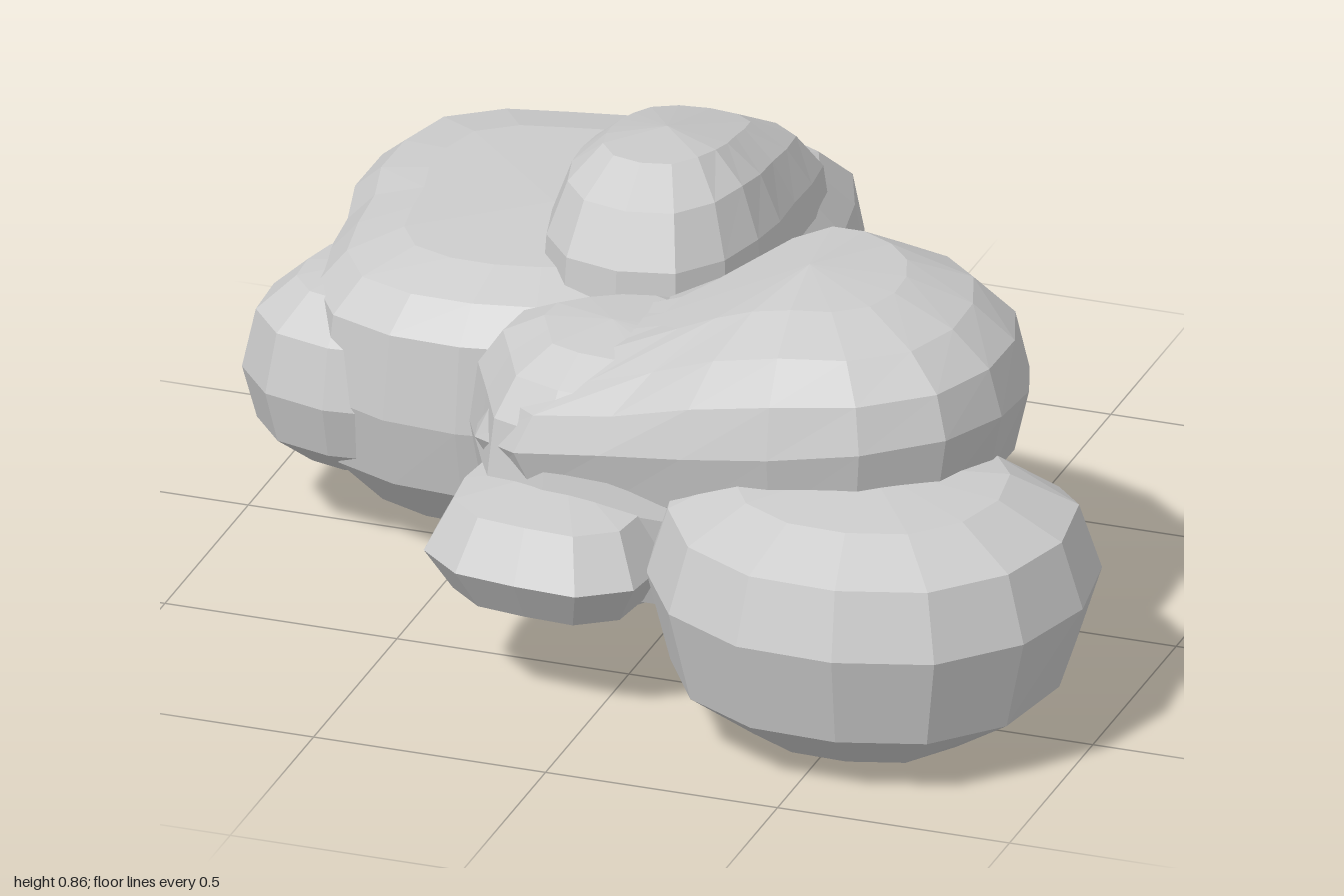
import * as THREE from 'three';

const material = new THREE.MeshStandardMaterial({ color: 0xcccccc, flatShading: true });

// Faceted boulder: a plan outline [x, z] (ordered +x, +z, -x, -z) is drawn in
// towards its centre above and below the waist height along a superellipse.
function boulder(name, { outline, centre, waist, top, bottom, topPower = 2.5, basePower = 2.3, sides = 18, steps = 4 }) {
  const at = (f, x, z) => (typeof f === 'function' ? f(x, z) : f);
  const curve = new THREE.CatmullRomCurve3(outline.map(([x, z]) => new THREE.Vector3(x, 0, z)), true);
  const plan = curve.getSpacedPoints(sides).slice(0, sides);
  const rings = [];
  for (let i = -steps; i <= steps; i++) {
    const phi = (Math.abs(i) / steps) * Math.PI / 2;
    const power = 2 / (i < 0 ? basePower : topPower);
    const spread = Math.abs(i) === steps ? 0 : Math.cos(phi) ** power;
    const rise = Math.sin(phi) ** power;
    rings.push(plan.map((p) => {
      const x = centre[0] + (p.x - centre[0]) * spread;
      const z = centre[1] + (p.z - centre[1]) * spread;
      const mid = at(waist, x, z);
      const y = mid + (at(i < 0 ? bottom : top, x, z) - mid) * rise;
      return [x, Math.max(y, 0), z];
    }));
  }
  // Quads between rings; the first and last rings are single points, so fans
  const positions = [];
  for (let i = 0; i < rings.length - 1; i++) {
    for (let j = 0; j < sides; j++) {
      const k = (j + 1) % sides;
      const a = rings[i][j], b = rings[i][k], c = rings[i + 1][k], d = rings[i + 1][j];
      if (i > 0) positions.push(...a, ...d, ...b);
      if (i < rings.length - 2) positions.push(...b, ...d, ...c);
    }
  }
  const geometry = new THREE.BufferGeometry();
  geometry.setAttribute('position', new THREE.Float32BufferAttribute(positions, 3));
  geometry.computeVertexNormals();
  const mesh = new THREE.Mesh(geometry, material);
  mesh.name = name;
  return mesh;
}

const oval = (x, z, rx, rz) => Array.from({ length: 10 }, (_, i) => {
  const a = (i / 10) * Math.PI * 2;
  return [x + rx * Math.cos(a), z + rz * Math.sin(a)];
});

export function createModel() {
  const group = new THREE.Group();
  group.name = 'boulderCluster';
  const { clamp, lerp, smoothstep } = THREE.MathUtils;

  group.add(
    // Broad low mass at the back right
    boulder('backBoulder', {
      outline: [[0.03, -0.4], [0.04, -0.15], [-0.05, 0.1], [-0.4, 0.24], [-0.75, 0.19], [-0.87, 0.02],
        [-0.9, -0.25], [-0.95, -0.5], [-0.87, -0.79], [-0.5, -0.88], [-0.25, -0.9], [-0.08, -0.78]],
      centre: [-0.43, -0.25], waist: (x, z) => 0.36 - 0.04 * z,
      top: (x) => 0.675 + 0.035 * x, bottom: (x, z) => 0.3 * Math.max(-0.45 - z, 0),
      topPower: 3.8, basePower: 2.35, sides: 22,
    }),
    // Bulge on its outer side
    boulder('sideBulge', {
      outline: [[-0.5, -0.05], [-0.6, 0.18], [-0.86, 0.19], [-0.98, 0.09], [-1, -0.06], [-0.97, -0.21], [-0.85, -0.36], [-0.62, -0.3]],
      centre: [-0.76, -0.06], waist: 0.34, top: 0.56, bottom: 0.13, sides: 12, steps: 3,
    }),
    // Long lobe tapering to the rear
    boulder('backLobe', {
      outline: [[0.1, -0.45], [0.13, -0.25], [0.05, 0], [-0.18, 0.13], [-0.38, 0],
        [-0.46, -0.45], [-0.45, -0.82], [-0.25, -0.98], [-0.02, -0.93], [0.07, -0.72]],
      centre: [-0.19, -0.35], waist: 0.38,
      top: 0.68, bottom: (x, z) => 0.05 + 0.2 * Math.max(-0.4 - z, 0),
      topPower: 2.4, basePower: 2.2, sides: 18,
    }),
    // Ridge rising above the back mass
    boulder('ridge', {
      outline: [[0.05, -0.4], [0.06, -0.15], [-0.02, 0.06], [-0.18, 0.11], [-0.34, 0.05], [-0.42, -0.2],
        [-0.43, -0.5], [-0.37, -0.7], [-0.2, -0.77], [0, -0.7]],
      centre: [-0.19, -0.26], waist: 0.5,
      top: (x, z) => 0.885 + 0.22 * Math.min(z + 0.16, 0), bottom: 0.3,
      topPower: 2.8,
    }),
    // Upper front mass, higher on the left
    boulder('upperBoulder', {
      outline: [[0.75, 0.35], [0.65, 0.59], [0.37, 0.68], [0, 0.64], [-0.29, 0.58], [-0.36, 0.38], [-0.41, 0.2],
        [-0.2, 0], [0.12, -0.32], [0.45, -0.22], [0.62, -0.1], [0.72, 0.08]],
      centre: [0.3, 0.25], waist: (x, z) => 0.46 + 0.16 * x + 0.14 * z,
      top: (x, z) => lerp(0.69, 0.86, smoothstep(x, -0.15, 0.35)) + 0.2 * Math.min(z, 0),
      bottom: 0.3, topPower: 2.35,
    }),
    // Its deep right shoulder
    boulder('shoulder', {
      outline: [[0.38, 0.35], [0.3, 0.6], [0, 0.63], [-0.28, 0.57], [-0.36, 0.4], [-0.43, 0.24], [-0.3, 0.08], [0, -0.03]],
      centre: [-0.1, 0.32], waist: 0.42, top: 0.7, bottom: 0.17,
      topPower: 2.6, sides: 16,
    }),
    // Large lower lobe at the front left
    boulder('lowerBoulder', {
      outline: [[1, 0.56], [0.87, 0.87], [0.56, 0.98], [0.28, 0.92], [0.11, 0.7], [0.05, 0.42], [0.08, 0.15],
        [0.2, -0.15], [0.46, -0.17], [0.75, 0.08], [0.93, 0.27]],
      centre: [0.52, 0.52], waist: (x, z) => lerp(0.26, 0.33, smoothstep(z, -0.1, 0.4)),
      top: (x, z) => lerp(0.36, 0.56, smoothstep(z, -0.1, 0.4)),
      bottom: (x, z) => clamp(0.11 - 0.18 * z, -0.02, 0.2),
      topPower: 2.8, basePower: 2.5, sides: 16, steps: 3,
    }),
    // Small knobs filling the gaps
    boulder('rearKnob', {
      outline: oval(0.32, -0.18, 0.25, 0.215), centre: [0.32, -0.18],
      waist: 0.31, top: 0.41, bottom: 0.19, sides: 12, steps: 3,
    }),
    boulder('frontKnob', {
      outline: [[0.1, 0.5], [0.12, 0.7], [0.07, 0.82], [-0.12, 0.83], [-0.31, 0.79], [-0.37, 0.7], [-0.36, 0.45], [-0.3, 0.25], [0, 0.25]],
      centre: [-0.13, 0.52], waist: 0.32, top: 0.45, bottom: 0.2,
      topPower: 3, basePower: 3, sides: 14, steps: 2,
    }),
    boulder('underKnob', {
      outline: oval(-0.12, 0.27, 0.28, 0.36), centre: [-0.12, 0.27],
      waist: 0.25, top: 0.4, bottom: 0.1, sides: 12, steps: 3,
    }),
    // Core joining the front and back masses
    boulder('core', {
      outline: oval(0.09, 0.19, 0.42, 0.45), centre: [0.09, 0.19],
      waist: 0.34, top: 0.62, bottom: (x, z) => 0.16 - 0.12 * z, sides: 14, steps: 3,
    }),
  );
  return group;
}
